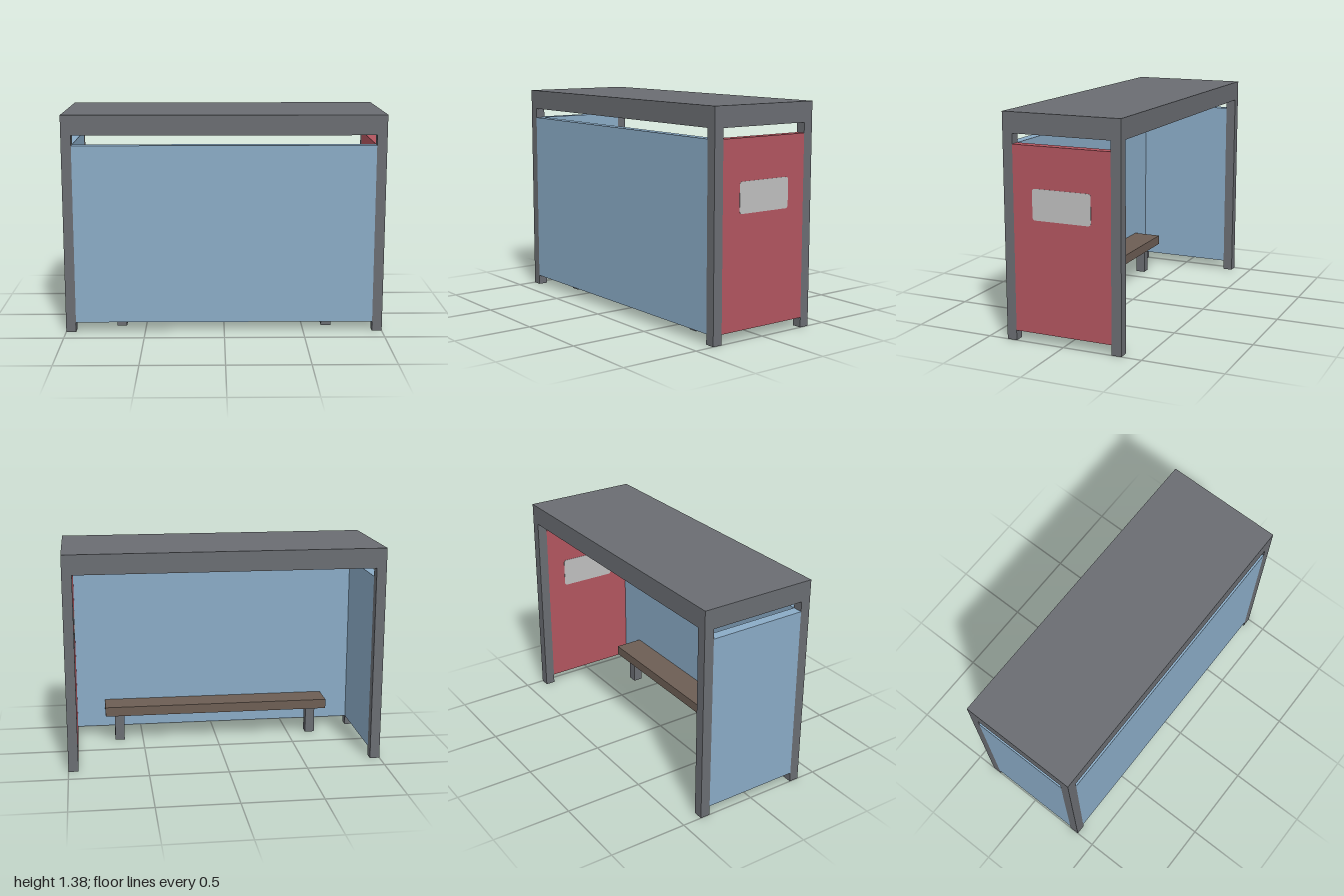
import * as THREE from 'three';

const mat = (name, color) => {
  const m = new THREE.MeshStandardMaterial({ color });
  m.name = name;
  return m;
};

export function createModel() {
  const steel = mat('grey steel', 0x6a6d72);
  const glass = mat('blue glass', 0x8aabc6);
  const red = mat('red panel', 0xb2555f);
  const pale = mat('pale grey sign', 0xbfbfbf);
  const wood = mat('brown wood', 0x6d5e54);

  const group = new THREE.Group();
  group.name = 'shelter';
  const T = 0.0625; // common thickness of posts, panels and seat

  // Box given by its extents along each axis
  const box = (name, material, [x0, x1], [y0, y1], [z0, z1]) => {
    const mesh = new THREE.Mesh(new THREE.BoxGeometry(x1 - x0, y1 - y0, z1 - z0), material);
    mesh.position.set((x0 + x1) / 2, (y0 + y1) / 2, (z0 + z1) / 2);
    mesh.name = name;
    group.add(mesh);
  };

  // Roof slab
  box('roof', steel, [-1, 1], [1.25, 1.375], [-0.375, 0.375]);

  // Corner posts
  for (const x of [-1, 1 - T])
    for (const z of [-0.375, 0.375 - T])
      box('post', steel, [x, x + T], [0, 1.25], [z, z + T]);

  // Wall panels, flush with the outside of the posts
  const wallY = [T, 1.1875];
  const sideZ = [-0.375 + T, 0.375 - T];
  box('longWall', glass, [-1 + T, 1 - T], wallY, [0.375 - T, 0.375]);
  box('glassEndWall', glass, [-1, -1 + T], wallY, sideZ);
  box('redEndWall', red, [1 - T, 1], wallY, sideZ);

  // Bench
  box('benchSeat', wood, [-0.75, 0.75], [0.1875, 0.25], [0.125, 0.3125]);
  for (const x of [-0.6875, 0.625])
    box('benchLeg', steel, [x, x + T], [0, 0.1875], [0.1875, 0.25]);

  // Rounded sign plates on both faces of the red wall
  const w = 0.1875, h = 0.09375, r = 0.018;
  const shape = new THREE.Shape();
  shape.absarc(w - r, h - r, r, 0, Math.PI / 2);
  shape.absarc(-w + r, h - r, r, Math.PI / 2, Math.PI);
  shape.absarc(-w + r, -h + r, r, Math.PI, Math.PI * 1.5);
  shape.absarc(w - r, -h + r, r, Math.PI * 1.5, Math.PI * 2);
  const plate = new THREE.ExtrudeGeometry(shape, { depth: 0.003, bevelEnabled: false, curveSegments: 4 });
  for (const [name, x, turn] of [['outerSign', 0.9985, 1], ['innerSign', 1 - T + 0.001, -1]]) {
    const sign = new THREE.Mesh(plate, pale);
    sign.rotation.y = turn * Math.PI / 2;
    sign.position.set(x, 0.84375, 0);
    sign.name = name;
    group.add(sign);
  }

  return group;
}
